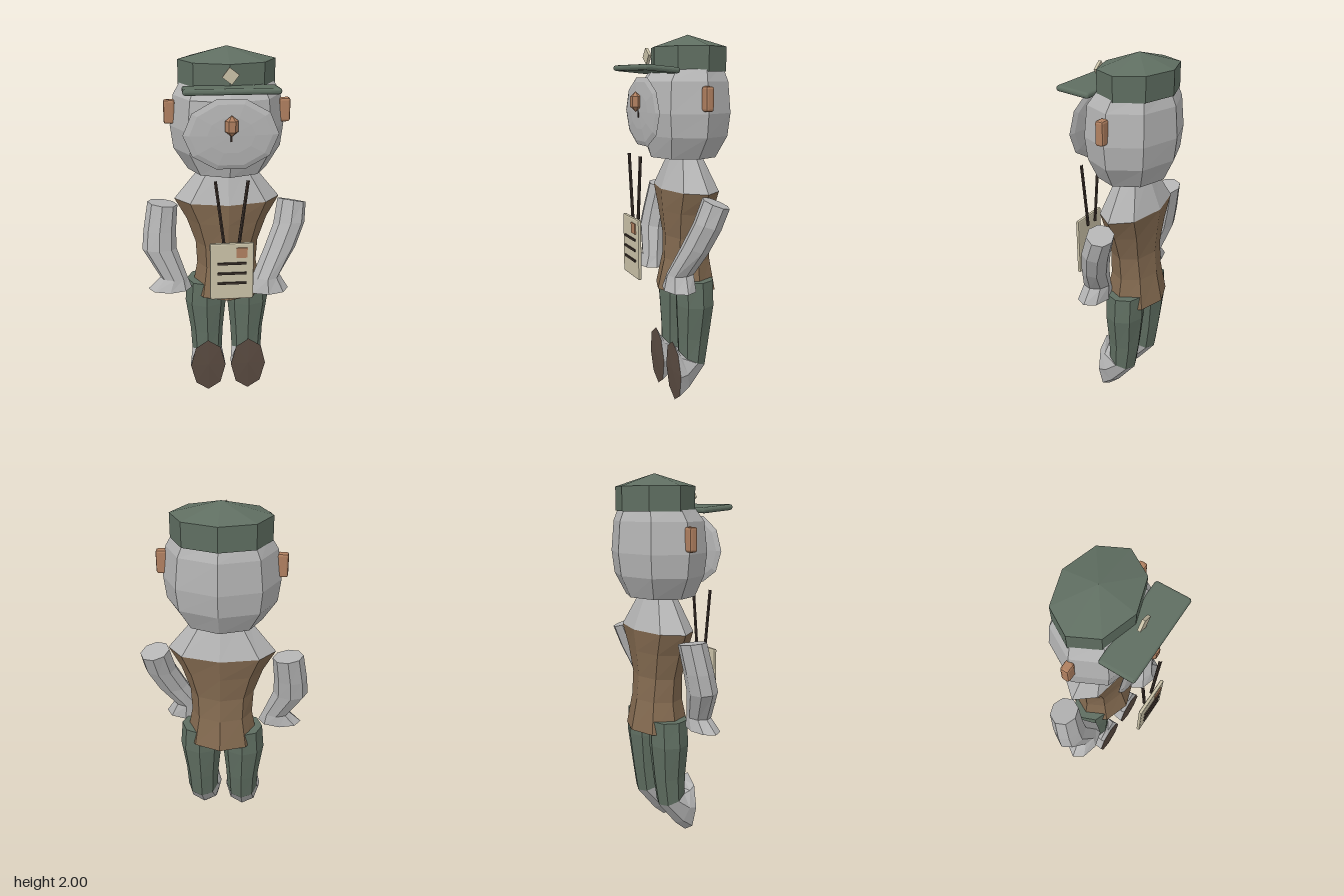
import * as THREE from 'three';
import { RoundedBoxGeometry } from 'three/addons/geometries/RoundedBoxGeometry.js';

const CX = 0.014; // body centre line

function paint(name, color) {
  const m = new THREE.MeshStandardMaterial({ color, flatShading: true });
  m.name = name;
  return m;
}

// Ring: [centre x, x radius, front y, front z, back y, back z, sideways tilt].
// Rings run from bottom to top; caps may be raised to a point.
function loft(name, rings, material, { bottom = material, top = material, bottomPoint, topPoint, sides = 8 } = {}) {
  const points = rings.map(([cx, rx, fy, fz, by, bz, tilt = 0]) => {
    const ring = [];
    for (let j = 0; j < sides; j++) {
      const a = (j / sides) * Math.PI * 2, s = Math.sin(a), c = Math.cos(a);
      ring.push([cx + rx * s, (fy + by) / 2 + ((fy - by) / 2) * c + tilt * s, (fz + bz) / 2 + ((fz - bz) / 2) * c]);
    }
    return ring;
  });
  const middle = ([cx, , fy, fz, by, bz]) => [cx, (fy + by) / 2, (fz + bz) / 2];
  const last = points.length - 1;
  const low = bottomPoint || middle(rings[0]);
  const high = topPoint || middle(rings[last]);
  const side = [], under = [], over = [];
  for (let j = 0; j < sides; j++) {
    const k = (j + 1) % sides;
    for (let i = 0; i < last; i++) {
      const a = points[i][j], b = points[i][k], c = points[i + 1][k], d = points[i + 1][j];
      side.push(...a, ...b, ...c, ...a, ...c, ...d);
    }
    under.push(...low, ...points[0][k], ...points[0][j]);
    over.push(...high, ...points[last][j], ...points[last][k]);
  }
  const geo = new THREE.BufferGeometry();
  geo.setAttribute('position', new THREE.Float32BufferAttribute([...side, ...under, ...over], 3));
  geo.addGroup(0, side.length / 3, 0);
  geo.addGroup(side.length / 3, under.length / 3, 1);
  geo.addGroup((side.length + under.length) / 3, over.length / 3, 2);
  geo.computeVertexNormals();
  const mesh = new THREE.Mesh(geo, [material, bottom, top]);
  mesh.name = name;
  return mesh;
}

// Level ring for upright parts
const level = (y, rx, front, back) => [CX, rx, y, front, y, back];

export function createModel() {
  const model = new THREE.Group();
  model.name = 'uniformedBear';
  const fur = paint('grey fur', 0xb4b4b4);
  const green = paint('uniform green', 0x5f6e61);
  const vestBrown = paint('vest brown', 0x836a50);
  const padBrown = paint('dark pad brown', 0x5a4b41);
  const tan = paint('nose tan', 0xb08060);
  const cream = paint('paper cream', 0xcac2a8);
  const dark = paint('dark strap', 0x3b302a);

  function add(name, geo, mat, x, y, z) {
    const mesh = new THREE.Mesh(geo, mat);
    mesh.name = name;
    mesh.position.set(x, y, z);
    model.add(mesh);
    return mesh;
  }

  // Head
  model.add(loft('head', [
    level(1.365, 0.21, 0.15, -0.21),
    level(1.48, 0.285, 0.185, -0.265),
    level(1.6, 0.3, 0.2, -0.28),
    level(1.76, 0.28, 0.185, -0.268),
    level(1.84, 0.235, 0.12, -0.235),
  ], fur));
  const face = new THREE.SphereGeometry(1, 10, 6);
  face.rotateX(Math.PI / 2);
  face.scale(0.24, 0.185, 0.02);
  add('facePlate', face, fur, CX, 1.605, 0.2);
  const nose = new THREE.SphereGeometry(1, 6, 3);
  nose.scale(0.038, 0.053, 0.032);
  add('nose', nose, tan, CX, 1.657, 0.235);
  add('mouthLine', new THREE.BoxGeometry(0.008, 0.035, 0.008), dark, CX, 1.593, 0.22);
  for (const side of [-1, 1]) {
    add('ear', new RoundedBoxGeometry(0.06, 0.125, 0.045, 1, 0.012), tan, CX + side * 0.301, 1.675, -0.033);
  }

  // Cap, visor and badge
  model.add(loft('cap', [
    level(1.81, 0.252, 0.13, -0.255),
    level(1.935, 0.252, 0.13, -0.255),
  ], green, { topPoint: [CX, 2, -0.0625] }));
  const visor = add('capVisor', new RoundedBoxGeometry(0.475, 0.03, 0.19, 2, 0.014), green, CX, 1.822, 0.18);
  visor.rotation.x = -0.09;
  const badge = add('capBadge', new THREE.BoxGeometry(0.06, 0.06, 0.016), cream, CX, 1.887, 0.169);
  badge.rotation.z = -0.65;

  // Torso: vest below, furry shoulders above
  const chest = level(1.19, 0.288, 0.095, -0.195);
  model.add(loft('vest', [
    level(0.628, 0.2, 0.115, -0.215),
    level(0.8, 0.168, 0.075, -0.18),
    level(0.93, 0.175, 0.07, -0.167),
    level(1.07, 0.222, 0.085, -0.18),
    chest,
  ], vestBrown, { bottom: padBrown }));
  model.add(loft('shoulders', [chest, level(1.38, 0.135, 0.03, -0.12)], fur));

  // Arms, each bent at the elbow and flaring into a padded paw
  model.add(loft('rightArm', [
    [-0.312, 0.122, 0.685, 0.11, 0.685, -0.04],
    [-0.29, 0.075, 0.75, 0.085, 0.75, -0.035],
    [-0.365, 0.095, 0.92, 0.065, 0.9, -0.08],
    [-0.36, 0.09, 1.02, 0.045, 1.01, -0.1],
    [-0.34, 0.082, 1.165, 0.015, 1.16, -0.125, -0.012],
  ], fur, { bottom: padBrown }));
  model.add(loft('leftArm', [
    [0.23, 0.12, 0.685, 0.17, 0.685, 0],
    [0.225, 0.075, 0.765, 0.15, 0.77, 0],
    [0.305, 0.088, 0.93, 0.095, 0.89, -0.035],
    [0.36, 0.088, 1.06, 0.055, 1.02, -0.08],
    [0.378, 0.08, 1.18, 0.015, 1.14, -0.12, -0.015],
  ], fur, { bottom: padBrown }));

  // Legs: trousers, then feet with soles turned forward
  for (const side of [-1, 1]) {
    const x = CX + side * 0.118;
    const ankle = [x, 0.088, 0.27, 0.04, 0.2, -0.11];
    model.add(loft('trouserLeg', [
      ankle,
      [x, 0.095, 0.38, 0.045, 0.36, -0.135],
      [x + side * 0.004, 0.118, 0.56, 0.055, 0.56, -0.158],
      [x, 0.11, 0.7, 0.055, 0.7, -0.158],
    ], green));
    model.add(loft('foot', [
      [x, 0.102, 0.35, 0.085, 0.006, 0.07],
      [x, 0.1, 0.31, 0.06, 0.06, 0.0],
      ankle,
    ].map((r, i) => (i === 0 ? [...r.slice(0, 2), 0.352, 0.08, 0.002, 0.066] : r)), fur,
    { bottom: padBrown, bottomPoint: [x, 0.185, 0.08] }));
  }

  // Letter hung on two straps
  add('letter', new RoundedBoxGeometry(0.23, 0.325, 0.02, 1, 0.008), cream, CX, 0.888, 0.264);
  add('stamp', new THREE.BoxGeometry(0.058, 0.056, 0.008), tan, 0.066, 0.998, 0.276);
  for (const y of [0.937, 0.88, 0.823]) {
    add('letterLine', new THREE.BoxGeometry(0.152, 0.012, 0.008), dark, CX, y, 0.277);
  }
  for (const side of [-1, 1]) {
    const path = new THREE.LineCurve3(
      new THREE.Vector3(CX + side * 0.035, 1.0, 0.244),
      new THREE.Vector3(CX + side * 0.083, 1.383, 0.244),
    );
    add('strap', new THREE.TubeGeometry(path, 1, 0.009, 6), dark, 0, 0, 0);
  }
  return model;
}
